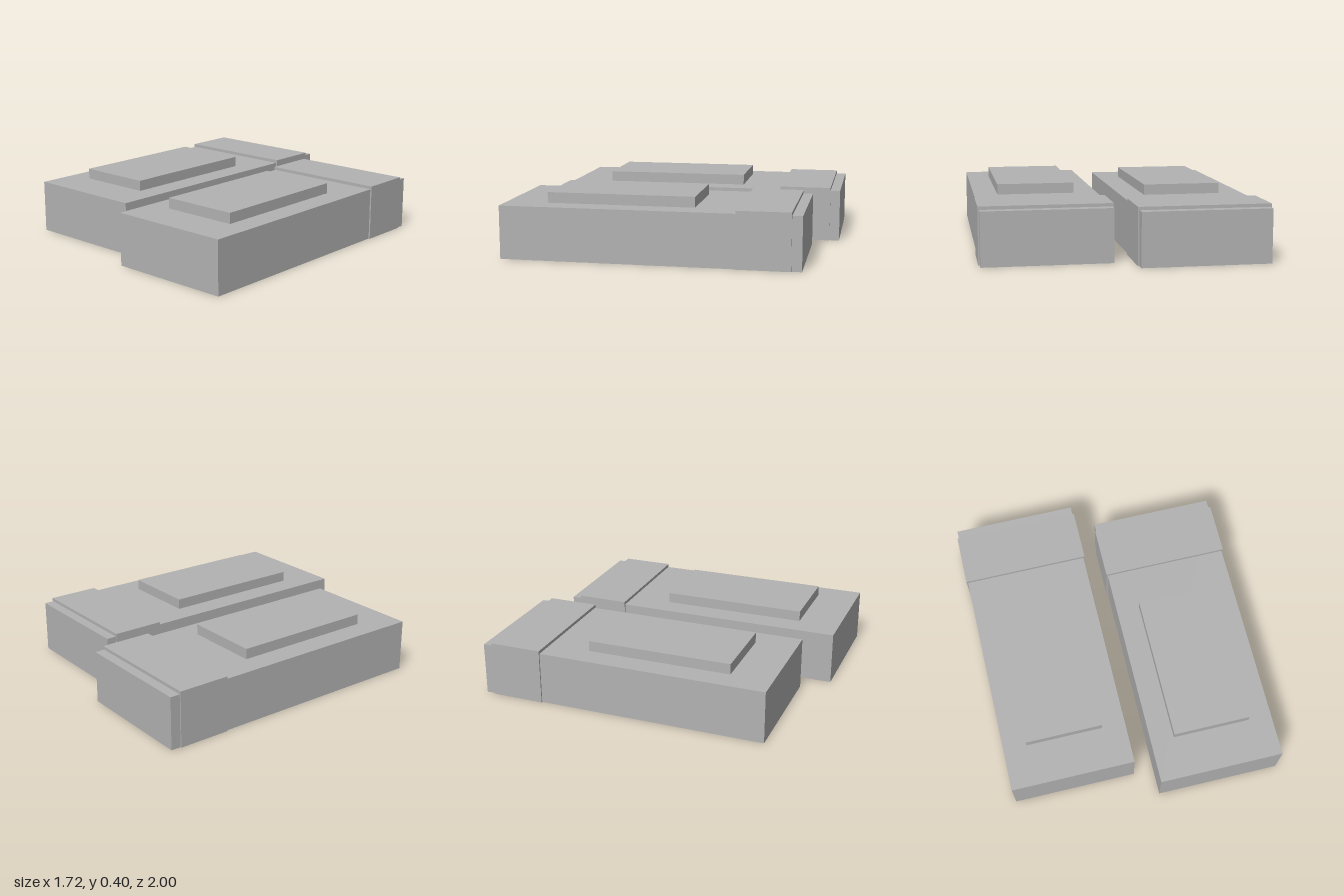
import * as THREE from 'three';

export function createModel() {
  const model = new THREE.Group();
  const grey = new THREE.MeshStandardMaterial({ color: 0xb2b2b2 });
  grey.name = 'grey';

  // Box given by its width, bottom and top, and back and front
  function block(name, width, y0, y1, z0, z1) {
    const geometry = new THREE.BoxGeometry(width, y1 - y0, z1 - z0);
    geometry.translate(0, (y0 + y1) / 2, (z0 + z1) / 2);
    const mesh = new THREE.Mesh(geometry, grey);
    mesh.name = name;
    return mesh;
  }

  // Two identical slabs, staggered front to back
  for (const side of [-1, 1]) {
    const half = new THREE.Group();
    half.name = side < 0 ? 'rightSlab' : 'leftSlab';
    half.add(
      block('body', 0.788, 0, 0.33, -0.917, 0.917),
      block('rearBand', 0.806, 0, 0.35, -0.855, -0.527), // slightly proud of the body
      block('raisedPanel', 0.49, 0.33, 0.396, -0.262, 0.655)
    );
    half.position.set(side * 0.459, 0, side * 0.083);
    model.add(half);
  }
  return model;
}
